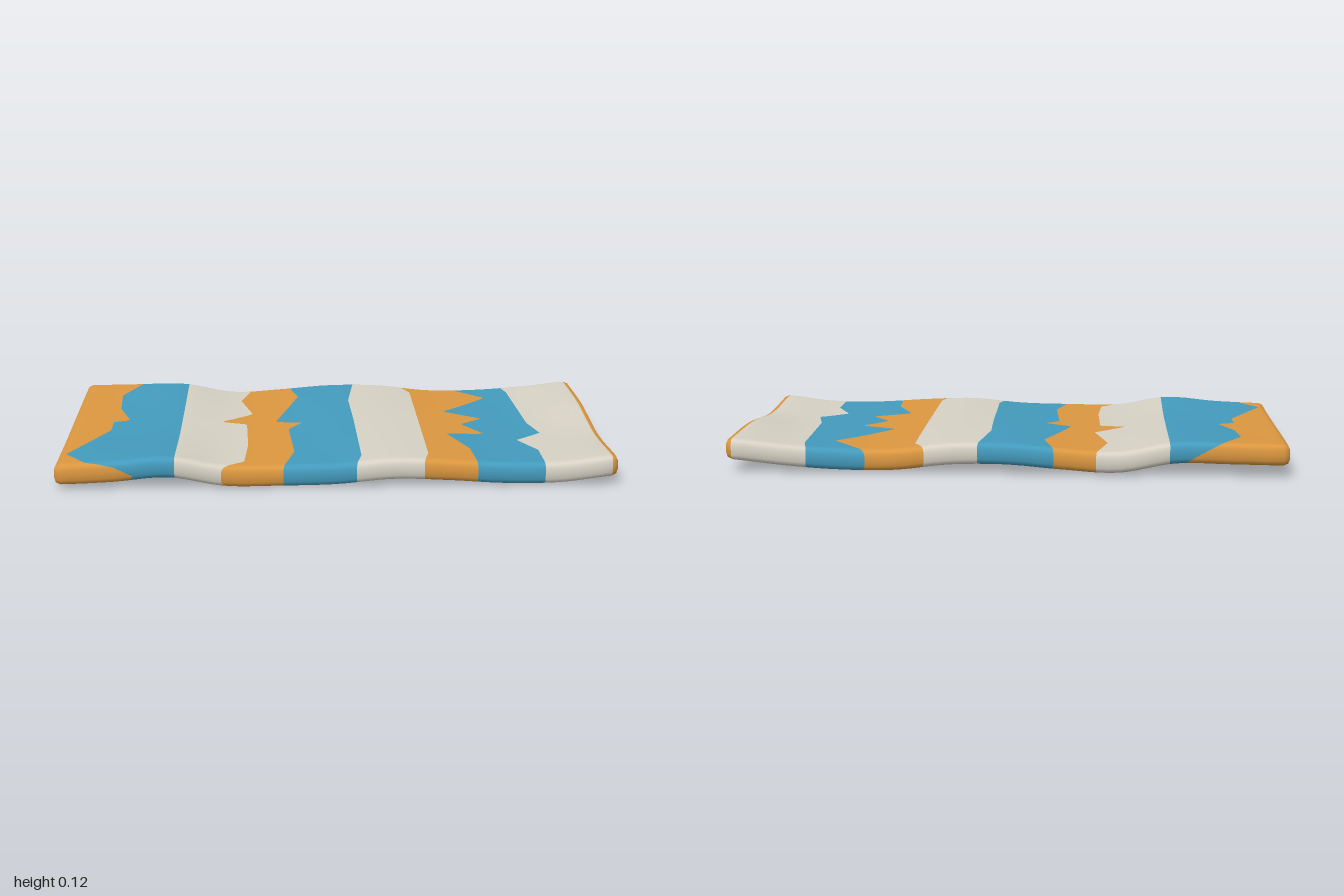
import * as THREE from 'three';

const COLOURS = [['orange', 0xdb9740], ['blue', 0x449bbd], ['beige', 0xd6d1c4]];
const HALF = 0.038; // half thickness

// Mid-surface height: rows from z = 0.6 to -0.6, columns from x = -1 to 1
const WAVES = [
  [0.052, 0.06, 0.076, 0.043, 0.042, 0.046, 0.064, 0.058, 0.046, 0.048, 0.072],
  [0.058, 0.058, 0.062, 0.046, 0.046, 0.058, 0.066, 0.058, 0.046, 0.046, 0.056],
  [0.07, 0.066, 0.07, 0.05, 0.052, 0.07, 0.07, 0.056, 0.05, 0.054, 0.085],
  [0.08, 0.083, 0.084, 0.048, 0.058, 0.074, 0.072, 0.05, 0.05, 0.064, 0.084],
];

// Stripe borders as [z, x] points from back to front
const BORDERS = [
  [[-0.6, -0.76], [-0.4, -0.84], [-0.2, -0.83], [-0.03, -0.78], [0, -0.84], [0.12, -0.84], [0.45, -0.97], [0.58, -0.89], [0.6, -0.82]],
  [[-0.6, -0.58], [0.6, -0.575]],
  [[-0.6, -0.32], [-0.4, -0.36], [-0.17, -0.31], [-0.04, -0.43], [-0.01, -0.33], [0.3, -0.32], [0.52, -0.33], [0.6, -0.41]],
  [[-0.6, -0.17], [-0.42, -0.13], [-0.04, -0.22], [0, -0.12], [0.08, -0.17], [0.4, -0.15], [0.6, -0.19]],
  [[-0.6, 0.1], [-0.3, 0.07], [0, 0.08], [0.5, 0.09], [0.6, 0.07]],
  [[-0.6, 0.29], [-0.5, 0.33], [0.5, 0.33], [0.6, 0.31]],
  [[-0.6, 0.5], [-0.42, 0.63], [-0.17, 0.44], [-0.07, 0.58], [0.03, 0.49], [0.17, 0.57], [0.19, 0.42], [0.4, 0.49], [0.6, 0.5]],
  [[-0.6, 0.71], [-0.5, 0.73], [0, 0.75], [0.15, 0.78], [0.25, 0.68], [0.4, 0.74], [0.6, 0.74]],
];

// Smooth curve through evenly spaced values
function spline(v, t) {
  const f = THREE.MathUtils.clamp(t, 0, 1) * (v.length - 1);
  const i = Math.min(Math.floor(f), v.length - 2), u = f - i;
  const p1 = v[i], p2 = v[i + 1], p0 = v[i - 1] ?? p1, p3 = v[i + 2] ?? p2;
  return p1 + 0.5 * u * (p2 - p0 + u * (2 * p0 - 5 * p1 + 4 * p2 - p3 + u * (3 * (p1 - p2) + p3 - p0)));
}

const midHeight = (x, z) => spline(WAVES.map((row) => spline(row, (x + 1) / 2)), (0.6 - z) / 1.2);

function borderX(points, z) {
  let k = 0;
  while (k < points.length - 2 && z > points[k + 1][0]) k++;
  const [z0, x0] = points[k], [z1, x1] = points[k + 1];
  return THREE.MathUtils.lerp(x0, x1, THREE.MathUtils.clamp((z - z0) / (z1 - z0), 0, 1));
}

// Cross-section loop as [z, height -1..1]: top, back edge, underside, front edge
function sectionLoop() {
  const top = [], n = 92;
  for (let i = 0; i <= n; i++) top.push([0.575 - (1.15 * i) / n, 1]);
  const edge = [[0.592, 0.85], [0.6, 0.5], [0.6, 0], [0.6, -0.5], [0.592, -0.85]];
  const back = edge.map(([z, h]) => [-z, h]);
  const under = top.map(([z]) => [-z, -1]);
  return [...top, ...back, ...under, ...edge.reverse()];
}

// Columns along x: rounded ends, and evenly divided stripes between the borders
function columns() {
  const cols = [];
  const add = (x, colour, thick = 1, inset = 0) => cols.push({ x, colour, thick, inset });
  const ends = [[1, 0, 0.02], [1, 0.5, 0.02], [0.994, 0.85, 0.008]];
  ends.forEach(([x, t, inset]) => add(() => -x, 0, t, inset));
  const lines = [() => -0.978, ...BORDERS.map((b, k) => (z, h) => {
    // The first stripe reaches further in on the underside
    const shift = k === 0 ? 0.13 * (1 - h) / 2 : 0;
    return borderX(b, z) + shift;
  }), () => 0.978];
  for (let s = 0; s < lines.length - 1; s++) {
    for (let k = 0; k < 6; k++) {
      add((z, h) => THREE.MathUtils.lerp(lines[s](z, h), lines[s + 1](z, h), k / 6), s % 3);
    }
  }
  add(() => 0.978, 0);
  ends.reverse().forEach(([x, t, inset]) => add(() => x, 0, t, inset));
  return cols;
}

function blanketGeometry() {
  const loop = sectionLoop(), cols = columns(), n = loop.length;
  const position = [], index = [], geometry = new THREE.BufferGeometry();
  cols.forEach((col) => loop.forEach(([z, h]) => {
    const x = col.x(z, h), zz = z * (1 - col.inset / 0.6);
    position.push(x, midHeight(x, zz) + h * HALF * col.thick, zz);
  }));
  for (let i = 0; i < cols.length - 1; i++) {
    geometry.addGroup(index.length, n * 6, cols[i].colour);
    for (let j = 0; j < n; j++) {
      const a = i * n + j, d = i * n + ((j + 1) % n);
      index.push(a, a + n, d + n, a, d + n, d);
    }
  }
  geometry.setAttribute('position', new THREE.Float32BufferAttribute(position, 3));
  geometry.setIndex(index);
  geometry.computeVertexNormals();
  geometry.computeBoundingBox();
  geometry.translate(0, -geometry.boundingBox.min.y, 0);
  return geometry;
}

export function createModel() {
  const materials = COLOURS.map(([name, color]) => {
    const material = new THREE.MeshStandardMaterial({ color });
    material.name = name;
    return material;
  });
  const group = new THREE.Group();
  group.name = 'stripedBlanket';
  const blanket = new THREE.Mesh(blanketGeometry(), materials);
  blanket.name = 'blanket';
  group.add(blanket);
  return group;
}
